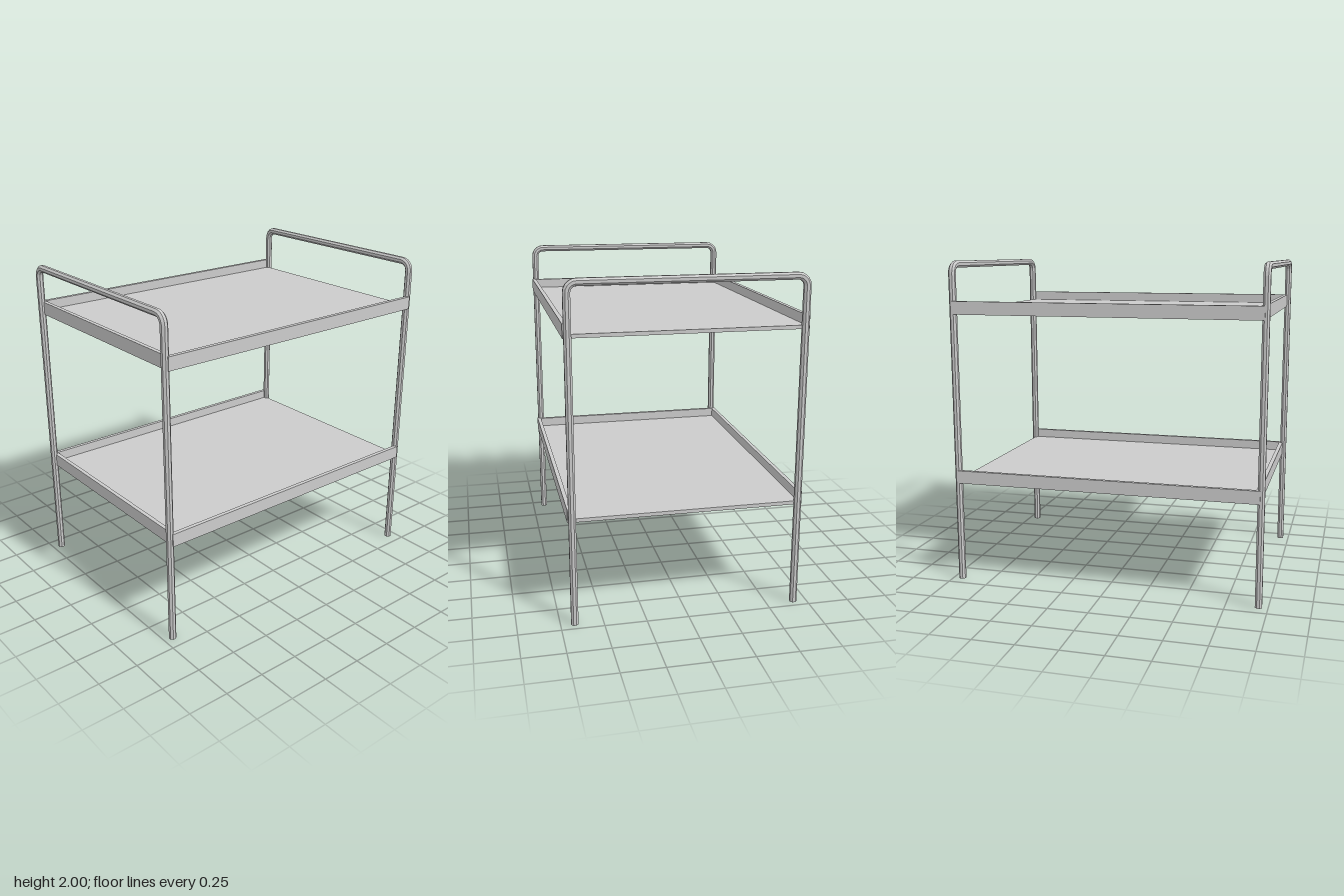
import * as THREE from 'three';

const material = new THREE.MeshStandardMaterial({ color: 0xcccccc, flatShading: true });

const LEG_X = 0.944, LEG_Z = 0.668, TOP_Y = 1.979;
const BEND = 0.055, SIDES = 8, RADIUS = 0.0225;

// Octagonal tube swept up one leg, over the handle and down the other leg
function frameGeometry() {
  // Each station: z, y and the angle of the outward direction in the z-y plane
  const stations = [[LEG_Z, 0, 0]];
  for (const [sign, start] of [[1, 0], [-1, Math.PI / 2]]) {
    for (let i = 0; i <= 5; i++) {
      const a = start + (i / 5) * Math.PI / 2;
      stations.push([
        sign * (LEG_Z - BEND) + BEND * Math.cos(a),
        TOP_Y - BEND + BEND * Math.sin(a),
        a,
      ]);
    }
  }
  stations.push([-LEG_Z, 0, Math.PI]);

  const pos = [], index = [];
  for (const [z, y, a] of stations) {
    for (let s = 0; s < SIDES; s++) {
      const t = ((s + 0.5) / SIDES) * Math.PI * 2;
      const out = RADIUS * Math.cos(t);
      pos.push(RADIUS * Math.sin(t), y + out * Math.sin(a), z + out * Math.cos(a));
    }
  }
  const last = (stations.length - 1) * SIDES;
  for (let r = 0; r < last; r += SIDES) {
    for (let s = 0; s < SIDES; s++) {
      const n = (s + 1) % SIDES;
      index.push(r + s, r + n, r + SIDES + s, r + n, r + SIDES + n, r + SIDES + s);
    }
  }
  // Feet caps
  for (let s = 1; s < SIDES - 1; s++) {
    index.push(0, s + 1, s, last, last + s, last + s + 1);
  }
  const indexed = new THREE.BufferGeometry();
  indexed.setAttribute('position', new THREE.Float32BufferAttribute(pos, 3));
  indexed.setIndex(index);
  const geometry = indexed.toNonIndexed();
  geometry.computeVertexNormals();
  return geometry;
}

// Tray with raised front, back and left-hand walls, open at the +x end
function createTray(name, bottom) {
  const tray = new THREE.Group();
  tray.name = name;
  const halfX = 0.94, halfZ = 0.695, floor = 0.022, height = 0.08, wall = 0.025;

  const section = new THREE.Shape([
    [-halfZ, 0], [halfZ, 0], [halfZ, height], [halfZ - wall, height],
    [halfZ - wall, floor], [-halfZ + wall, floor], [-halfZ + wall, height], [-halfZ, height],
  ].map(([x, y]) => new THREE.Vector2(x, y)));
  const channel = new THREE.ExtrudeGeometry(section, { depth: 2 * halfX, bevelEnabled: false });
  channel.translate(0, 0, -halfX).rotateY(Math.PI / 2);
  const base = new THREE.Mesh(channel, material);
  base.name = name + 'FloorAndSides';

  const end = new THREE.Mesh(
    new THREE.BoxGeometry(wall, height - floor, 2 * (halfZ - wall)), material);
  end.position.set(-halfX + wall / 2, (height + floor) / 2, 0);
  end.name = name + 'EndWall';

  tray.add(base, end);
  tray.position.y = bottom;
  return tray;
}

export function createModel() {
  const model = new THREE.Group();
  model.name = 'servingCart';

  // Bent tube frames at both ends
  const geometry = frameGeometry();
  for (const [name, side] of [['leftFrame', 1], ['rightFrame', -1]]) {
    const frame = new THREE.Mesh(geometry, material);
    frame.name = name;
    frame.position.x = side * LEG_X;
    model.add(frame);
  }

  model.add(createTray('lowerTray', 0.63), createTray('upperTray', 1.68));
  return model;
}
